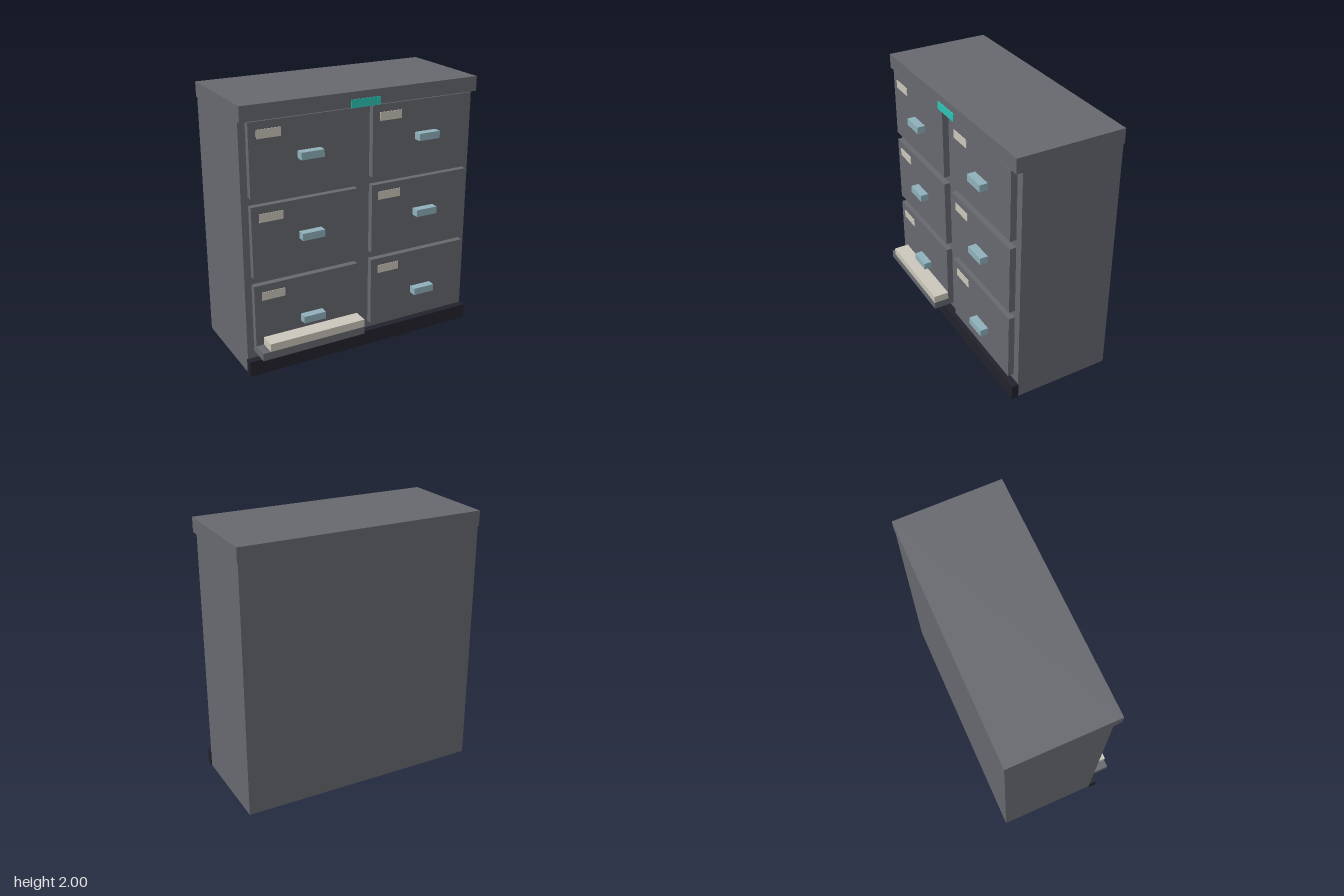
import * as THREE from 'three';

const mat = (name, color) => {
  const m = new THREE.MeshStandardMaterial({ color });
  m.name = name;
  return m;
};

export function createModel() {
  const grey = mat('cabinet grey', 0x66686f);
  const dark = mat('plinth dark', 0x22222d);
  const cream = mat('label cream', 0xcbc7bb);
  const blue = mat('handle blue', 0x8fb0bb);
  const teal = mat('badge teal', 0x2ec4b6);

  const group = new THREE.Group();
  group.name = 'drawerCabinet';

  // Box given by its extents on each axis
  const box = (name, material, [x0, x1], [y0, y1], [z0, z1]) => {
    const mesh = new THREE.Mesh(new THREE.BoxGeometry(x1 - x0, y1 - y0, z1 - z0), material);
    mesh.position.set((x0 + x1) / 2, (y0 + y1) / 2, (z0 + z1) / 2);
    mesh.name = name;
    group.add(mesh);
  };

  // Carcass, overhanging top and front plinth
  box('body', grey, [-0.933, 0.933], [0, 1.89], [-0.464, 0.297]);
  box('top', grey, [-0.94, 0.94], [1.89, 2], [-0.468, 0.35]);
  box('plinth', dark, [-0.94, 0.94], [0, 0.118], [0.297, 0.352]);

  // Badge on the top's front edge
  box('badge', teal, [-0.117, 0.117], [1.886, 1.947], [0.348, 0.355]);

  // Two columns of three drawers, each with a label and a handle
  const rows = [
    { top: 1.886, handle: 1.62 },
    { top: 1.296, handle: 1.032 },
    { top: 0.707, handle: 0.383 },
  ];
  for (const x of [-0.884, 0.058]) {
    for (const { top, handle } of rows) {
      box('drawer', grey, [x, x + 0.822], [top - 0.53, top], [0.303, 0.35]);
      box('label', cream, [x + 0.056, x + 0.236], [top - 0.119, top - 0.056], [0.296, 0.354]);
      box('handle', blue, [x + 0.354, x + 0.468], [handle - 0.027, handle + 0.027], [0.35, 0.412]);
      group.children.at(-1).scale.x = 1.52;
      group.children.at(-1).position.x = x + 0.442;
    }
  }

  // Shelf and pale tray in front of the lower drawer
  box('shelf', grey, [-0.884, -0.062], [0.177, 0.236], [0.35, 0.47]);
  box('tray', cream, [-0.825, -0.062], [0.236, 0.296], [0.35, 0.47]);

  return group;
}
